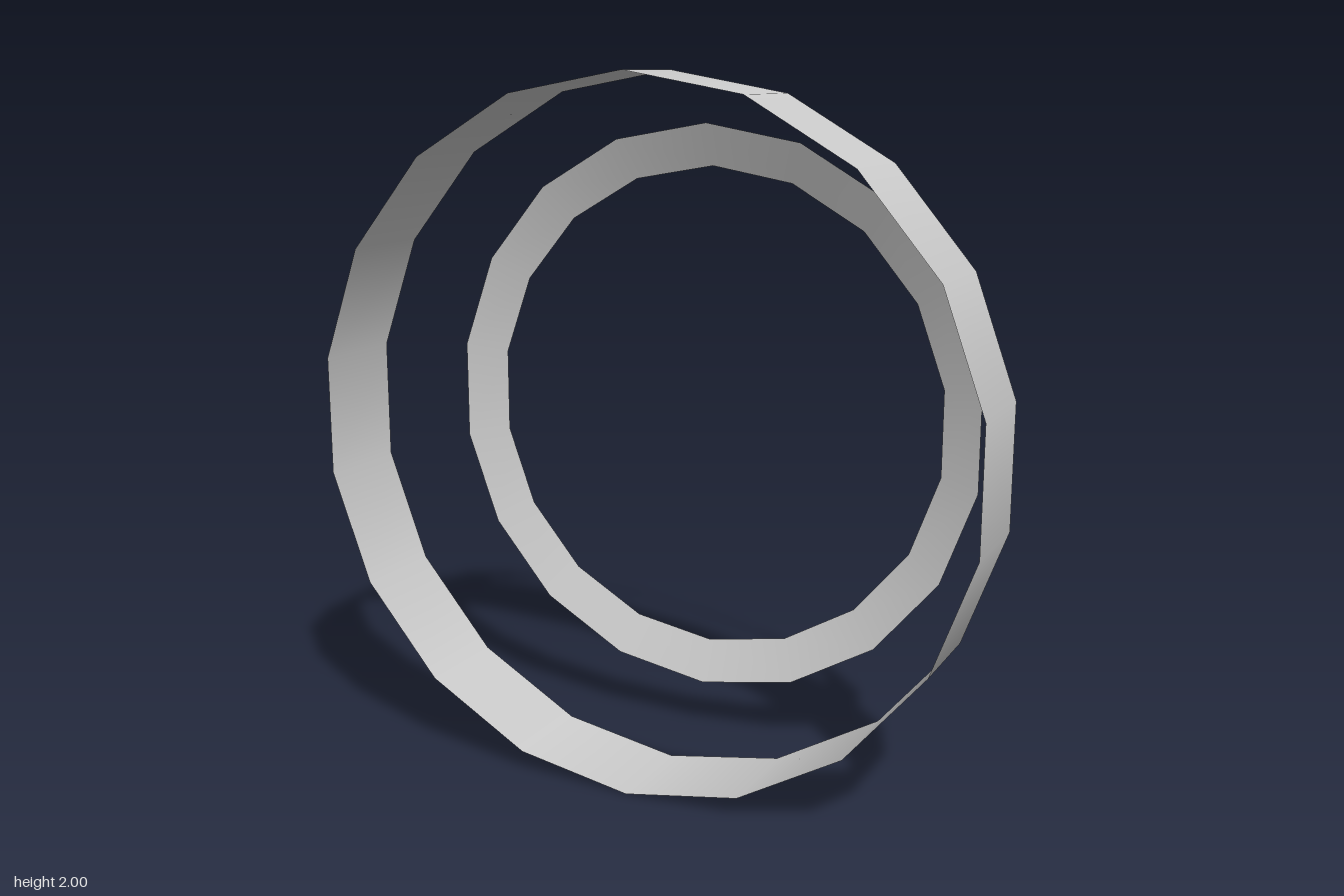
import * as THREE from 'three';

const SIDES = 18;

// Open band around the z axis, from zBack to zFront, with a corner at top and bottom.
function band(name, rFront, rBack, zFront, zBack, y, material) {
  const geometry = new THREE.CylinderGeometry(rFront, rBack, zFront - zBack, SIDES, 1, true);
  geometry.rotateX(Math.PI / 2);
  const mesh = new THREE.Mesh(geometry, material);
  mesh.name = name;
  mesh.position.set(0, y, (zFront + zBack) / 2);
  return mesh;
}

export function createModel() {
  const group = new THREE.Group();
  group.name = 'rings';
  const grey = new THREE.MeshStandardMaterial({ color: 0xcccccc, side: THREE.DoubleSide });

  // Wide straight hoop in front
  group.add(band('outerHoop', 1, 1, 0.28, -0.008, 1, grey));
  // Narrow tapered ring behind it
  group.add(band('taperedRing', 0.85, 0.726, -0.23, -0.28, 1.003, grey));

  return group;
}
